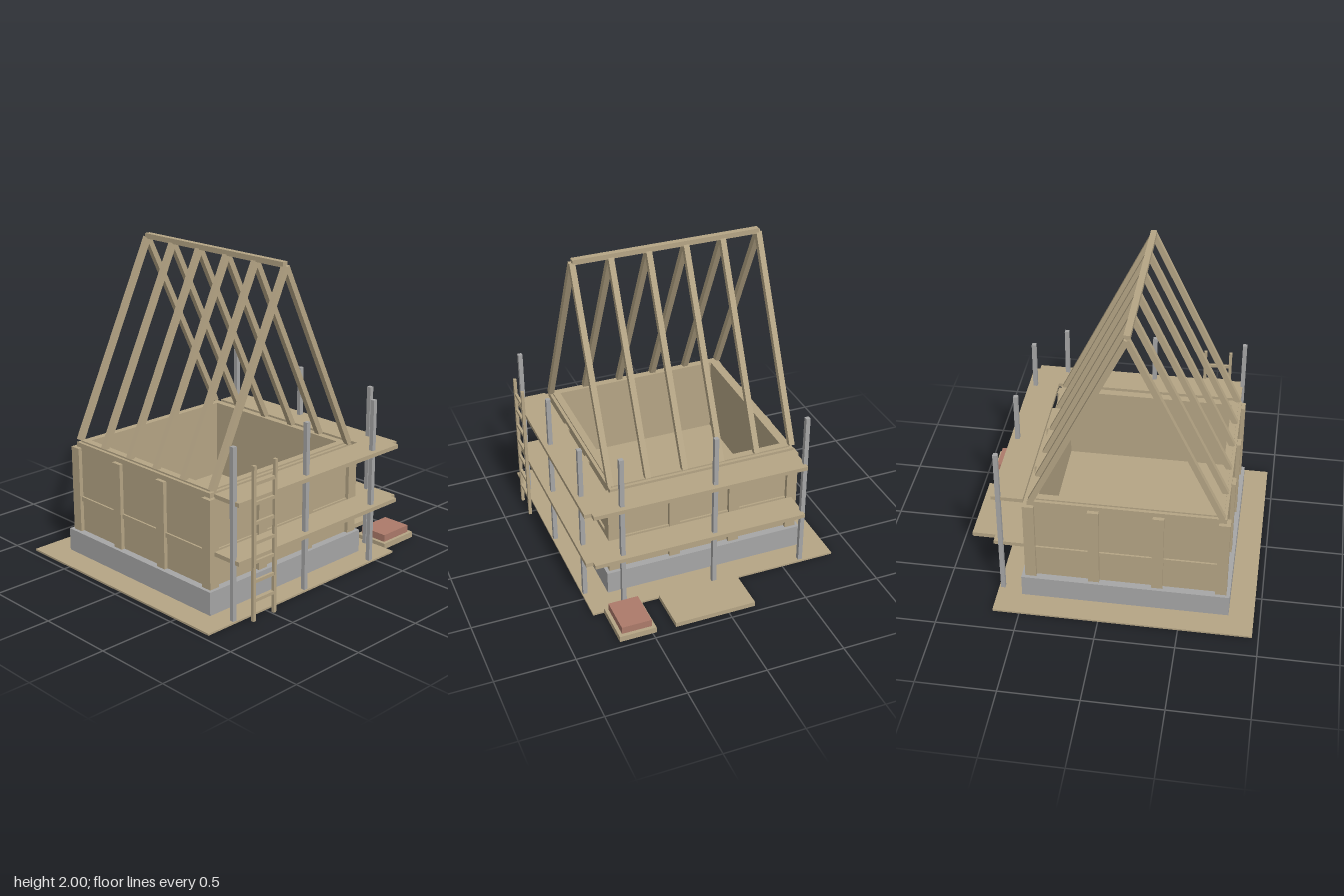
import * as THREE from 'three';

export function createModel() {
  const root = new THREE.Group();
  root.name = 'houseFrameSite';
  const mat = (name, color) => {
    const m = new THREE.MeshStandardMaterial({ color });
    m.name = name;
    return m;
  };
  const timber = mat('timber', 0xb5a585);
  const grey = mat('grey', 0xa6a6a6);
  const brick = mat('brick', 0xac7a6a);

  // Box given by its limits on each axis
  const box = (name, material, [x0, x1], [y0, y1], [z0, z1], parent = root) => {
    const mesh = new THREE.Mesh(new THREE.BoxGeometry(x1 - x0, y1 - y0, z1 - z0), material);
    mesh.position.set((x0 + x1) / 2, (y0 + y1) / 2, (z0 + z1) / 2);
    mesh.name = name;
    parent.add(mesh);
    return mesh;
  };
  const group = (name) => {
    const g = new THREE.Group();
    g.name = name;
    root.add(g);
    return g;
  };

  // House centre
  const cx = -0.145, cz = -0.03;

  // Square ring around the house centre, from half sizes
  const ring = (name, material, outer, inner, y0, y1) => {
    const square = (s, Type) => {
      const p = new Type();
      p.moveTo(-s, -s);
      p.lineTo(s, -s);
      p.lineTo(s, s);
      p.lineTo(-s, s);
      p.closePath();
      return p;
    };
    const shape = square(outer, THREE.Shape);
    shape.holes.push(square(inner, THREE.Path));
    const geo = new THREE.ExtrudeGeometry(shape, { depth: y1 - y0, bevelEnabled: false });
    geo.rotateX(-Math.PI / 2);
    const mesh = new THREE.Mesh(geo, material);
    mesh.position.set(cx, y0, cz);
    mesh.name = name;
    root.add(mesh);
  };

  // Ground, foundation, walls
  box('ground', timber, [-0.96, 0.67], [0, 0.012], [-0.85, 0.78]);
  ring('foundation', grey, 0.657, 0.545, 0.005, 0.16);
  ring('walls', timber, 0.61, 0.545, 0.16, 0.75);
  ring('topPlate', timber, 0.59, 0.545, 0.75, 0.76);
  box('floor', timber, [cx - 0.55, cx + 0.55], [0.21, 0.25], [cz - 0.55, cz + 0.55]);
  ring('middleRail', timber, 0.622, 0.6, 0.365, 0.395);

  // Wall studs on all four sides
  const studs = group('studs');
  const steps = [-0.6, -0.2, 0.2, 0.6];
  for (const a of steps) {
    for (const b of steps) {
      if (Math.abs(a) < 0.5 && Math.abs(b) < 0.5) continue;
      box('stud', timber, [cx + a - 0.035, cx + a + 0.035], [0.16, 0.72],
        [cz + b - 0.035, cz + b + 0.035], studs);
    }
  }

  // Rafter pairs and ridge beam
  const rafters = group('rafters');
  const run = 0.585, rise = 1.215;
  for (let i = 0; i < 6; i++) {
    for (const side of [-1, 1]) {
      const r = new THREE.Mesh(new THREE.BoxGeometry(0.036, Math.hypot(run, rise), 0.036), timber);
      r.position.set(cx + side * run / 2, 0.757 + rise / 2, -0.635 + i * 0.241);
      r.rotation.z = side * Math.atan2(run, rise);
      r.name = 'rafter';
      rafters.add(r);
    }
  }
  box('ridgeBeam', timber, [cx - 0.019, cx + 0.019], [1.967, 2], [-0.635, 0.57]);

  // Scaffold: posts and two levels of decking on the front and left sides
  const scaffold = group('scaffold');
  const post = (x, z) => box('scaffoldPost', grey, [x - 0.014, x + 0.014], [0.005, 1.08],
    [z - 0.014, z + 0.014], scaffold);
  for (const d of [-0.6, 0, 0.6]) {
    post(cx + d, 0.76);
    post(0.644, cz + d);
  }
  for (const y of [0.366, 0.726]) {
    box('frontDeck', timber, [-0.745, 0.65], [y, y + 0.026], [0.605, 0.805], scaffold);
    box('sideDeck', timber, [0.49, 0.69], [y, y + 0.026], [-0.63, 0.76], scaffold);
  }

  // Ladder
  const ladder = group('ladder');
  for (const x of [-0.65, -0.481]) {
    box('ladderRail', timber, [x - 0.01, x + 0.01], [0, 0.96], [0.82, 0.84], ladder);
  }
  for (let i = 0; i < 7; i++) {
    const y = 0.13 + i * 0.12;
    box('rung', timber, [-0.642, -0.489], [y - 0.01, y + 0.01], [0.822, 0.838], ladder);
  }

  // Building supplies
  box('boardStack', timber, [0.67, 0.955], [0, 0.03], [-0.175, 0.35]);
  box('pallet', timber, [0.67, 0.955], [0, 0.038], [0.475, 0.71]);
  box('brickStack', brick, [0.694, 0.932], [0.038, 0.085], [0.497, 0.688]);

  return root;
}
